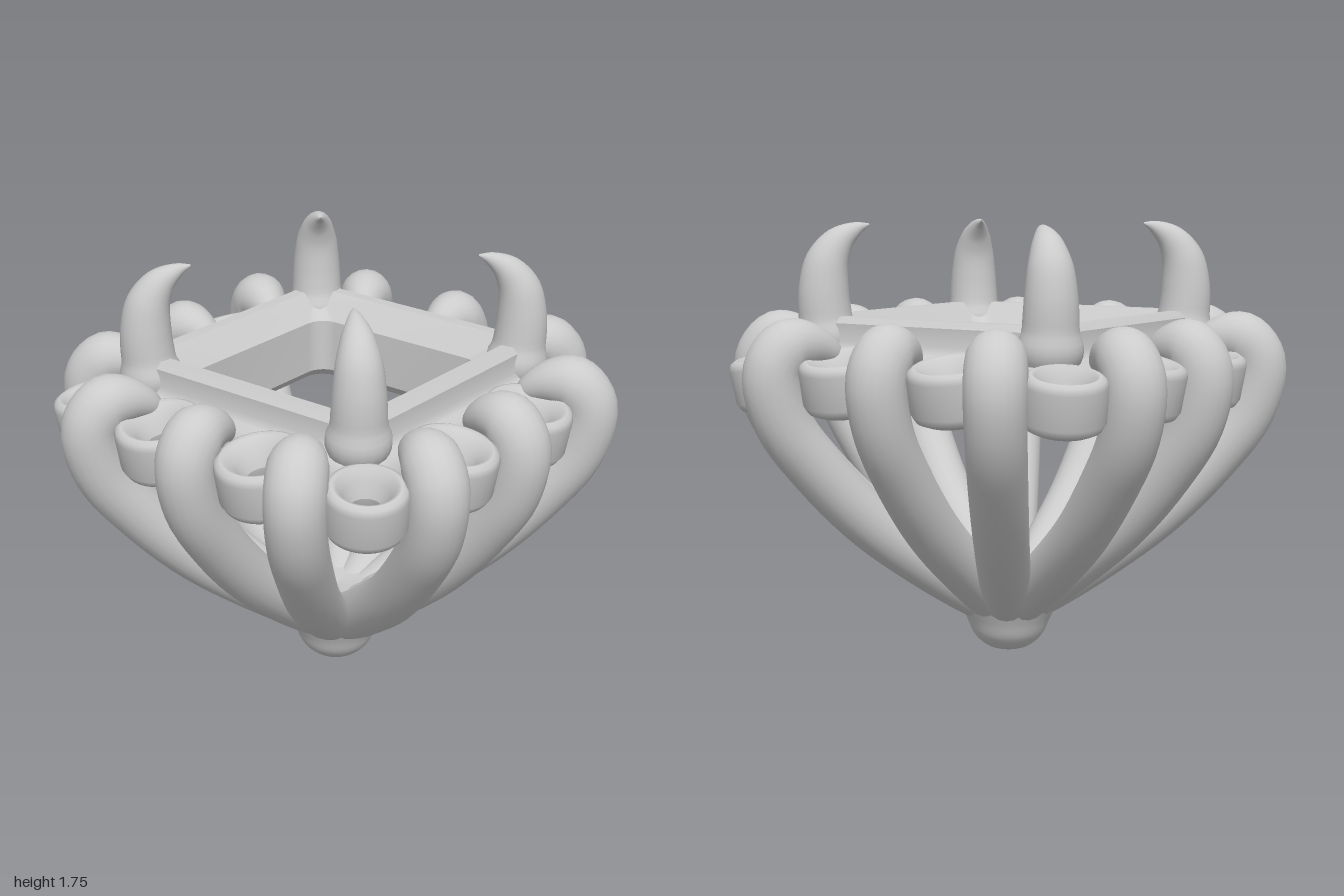
import * as THREE from 'three';
import { toCreasedNormals } from 'three/addons/utils/BufferGeometryUtils.js';

const material = new THREE.MeshStandardMaterial({ color: 0xcccccc });

// Skin closed loops of points into a surface.
function loft(loops, closed = false) {
  const n = loops[0].length, m = loops.length, index = [];
  const last = closed ? m : m - 1;
  for (let i = 0; i < last; i++) {
    for (let j = 0; j < n; j++) {
      const a = i * n + j, b = i * n + (j + 1) % n;
      const c = ((i + 1) % m) * n + j, d = ((i + 1) % m) * n + (j + 1) % n;
      index.push(a, c, b, b, c, d);
    }
  }
  const g = new THREE.BufferGeometry().setFromPoints(loops.flat());
  g.setIndex(index);
  g.computeVertexNormals();
  return g;
}

// Tapered sweep in the vertical plane; each station is [radial distance, y, radius].
function taper(stations, steps = 48, sides = 20) {
  const curve = new THREE.CatmullRomCurve3(stations.map(([r, y]) => new THREE.Vector3(0, y, r)));
  const radii = new THREE.CatmullRomCurve3(stations.map(([, , w]) => new THREE.Vector3(w, 0, 0)));
  const B = new THREE.Vector3(1, 0, 0), loops = [];
  for (let i = 0; i <= steps; i++) {
    const t = i / steps, p = curve.getPoint(t), w = Math.max(0.003, radii.getPoint(t).x);
    const N = curve.getTangent(t).cross(B).normalize();
    loops.push(Array.from({ length: sides }, (_, j) => {
      const a = j / sides * Math.PI * 2;
      return p.clone().addScaledVector(N, Math.cos(a) * w).addScaledVector(B, Math.sin(a) * w);
    }));
  }
  return loft(loops);
}

// Rounded square loop at height y.
function squareLoop(half, radius, y) {
  const pts = [], c = half - radius, steps = 8;
  for (let k = 0; k < 4; k++) {
    const sx = k === 0 || k === 3 ? 1 : -1, sz = k < 2 ? 1 : -1;
    for (let s = 0; s <= steps; s++) {
      const a = (k + s / steps) * Math.PI / 2;
      pts.push(new THREE.Vector3(sx * c + radius * Math.cos(a), y, sz * c + radius * Math.sin(a)));
    }
  }
  return pts;
}

const lathe = (pts, segments) =>
  new THREE.LatheGeometry(pts.map(([r, y]) => new THREE.Vector2(r, y)), segments);

export function createModel() {
  const model = new THREE.Group();
  const add = (name, geometry, parent = model) => {
    const mesh = new THREE.Mesh(geometry, material);
    mesh.name = name;
    parent.add(mesh);
    return mesh;
  };

  // Rounded base knob flaring into the ribs
  const base = new THREE.SplineCurve([[0, 0], [0.08, 0.015], [0.14, 0.065], [0.175, 0.14], [0.22, 0.22],
    [0.3, 0.31], [0.29, 0.36], [0.18, 0.35], [0, 0.33]].map(p => new THREE.Vector2(...p)));
  add('baseKnob', new THREE.LatheGeometry(base.getPoints(40).map(p => p.setX(Math.max(0, p.x))), 40));

  // Twelve curved ribs with inward-hooked tips, three per side
  const ribStations = [[0.62, 1.19, 0.004], [0.665, 1.245, 0.05], [0.74, 1.282, 0.088], [0.82, 1.278, 0.113],
    [0.876, 1.19, 0.115], [0.845, 1.0, 0.112], [0.72, 0.8, 0.11], [0.54, 0.585, 0.107],
    [0.33, 0.40, 0.104], [0.13, 0.25, 0.1], [0, 0.17, 0.09]];
  const middleRib = taper(ribStations);
  const sideRib = taper(ribStations.map(([r, y, w]) => [r * 1.14, y, w]));
  for (let k = 0; k < 4; k++) {
    for (const s of [-1, 0, 1]) {
      const rib = add(s ? 'sideRib' : 'middleRib', s ? sideRib : middleRib);
      rib.rotation.y = k * Math.PI / 2 + s * 0.53;
    }
  }

  // Square frame with an outer ledge, raised rim and bevelled seat: [half width, corner radius, y]
  const frame = [[0.6, 0.14, 1.03], [0.64, 0.16, 1.06], [0.655, 0.16, 1.12], [0.65, 0.16, 1.2],
    [0.625, 0.14, 1.24], [0.59, 0.08, 1.26], [0.575, 0.05, 1.29], [0.575, 0.04, 1.36], [0.555, 0.03, 1.385],
    [0.505, 0.03, 1.385], [0.49, 0.03, 1.37], [0.415, 0.08, 1.29], [0.415, 0.08, 1.07], [0.45, 0.08, 1.03]];
  const frameGeometry = loft(frame.map(p => squareLoop(...p)), true);
  add('frame', toCreasedNormals(frameGeometry, 0.6));

  // Flared eyelets around the frame, tilted outward
  const eyelet = (R, throat) => lathe([[throat, 0], [throat + 0.005, -0.05], [throat + 0.025, -0.09],
    [throat + 0.045, -0.105], [R - 0.045, -0.105], [R - 0.015, -0.09], [R, -0.06], [R, 0.07],
    [R - 0.01, 0.095], [R - 0.03, 0.105], [R - 0.045, 0.1], [throat + 0.025, 0.06], [throat, 0]], 36);
  const sideEyelet = eyelet(0.178, 0.068), cornerEyelet = eyelet(0.155, 0.06);
  for (let k = 0; k < 4; k++) {
    const side = new THREE.Group();
    side.name = 'eyeletSide';
    side.rotation.y = k * Math.PI / 2;
    model.add(side);
    for (const x of [-0.25, 0.25]) {
      const ring = add('sideEyelet', sideEyelet, side);
      ring.position.set(x, 1.15, 0.73);
      ring.rotation.x = 0.2;
    }
    const corner = new THREE.Group();
    corner.name = 'eyeletCorner';
    corner.rotation.y = (k + 0.5) * Math.PI / 2;
    model.add(corner);
    const ring = add('cornerEyelet', cornerEyelet, corner);
    ring.position.set(0, 1.13, 0.95);
    ring.rotation.x = 0.2;
  }

  // Claw prongs on the corners, curling inward to a point
  const claw = taper([[0.56, 1.739, 0.004], [0.61, 1.722, 0.028], [0.68, 1.672, 0.062], [0.728, 1.59, 0.087],
    [0.742, 1.48, 0.1], [0.735, 1.36, 0.106], [0.72, 1.24, 0.106], [0.71, 1.15, 0.1]], 36);
  for (let k = 0; k < 4; k++) add('clawProng', claw).rotation.y = (k + 0.5) * Math.PI / 2;

  return model;
}
